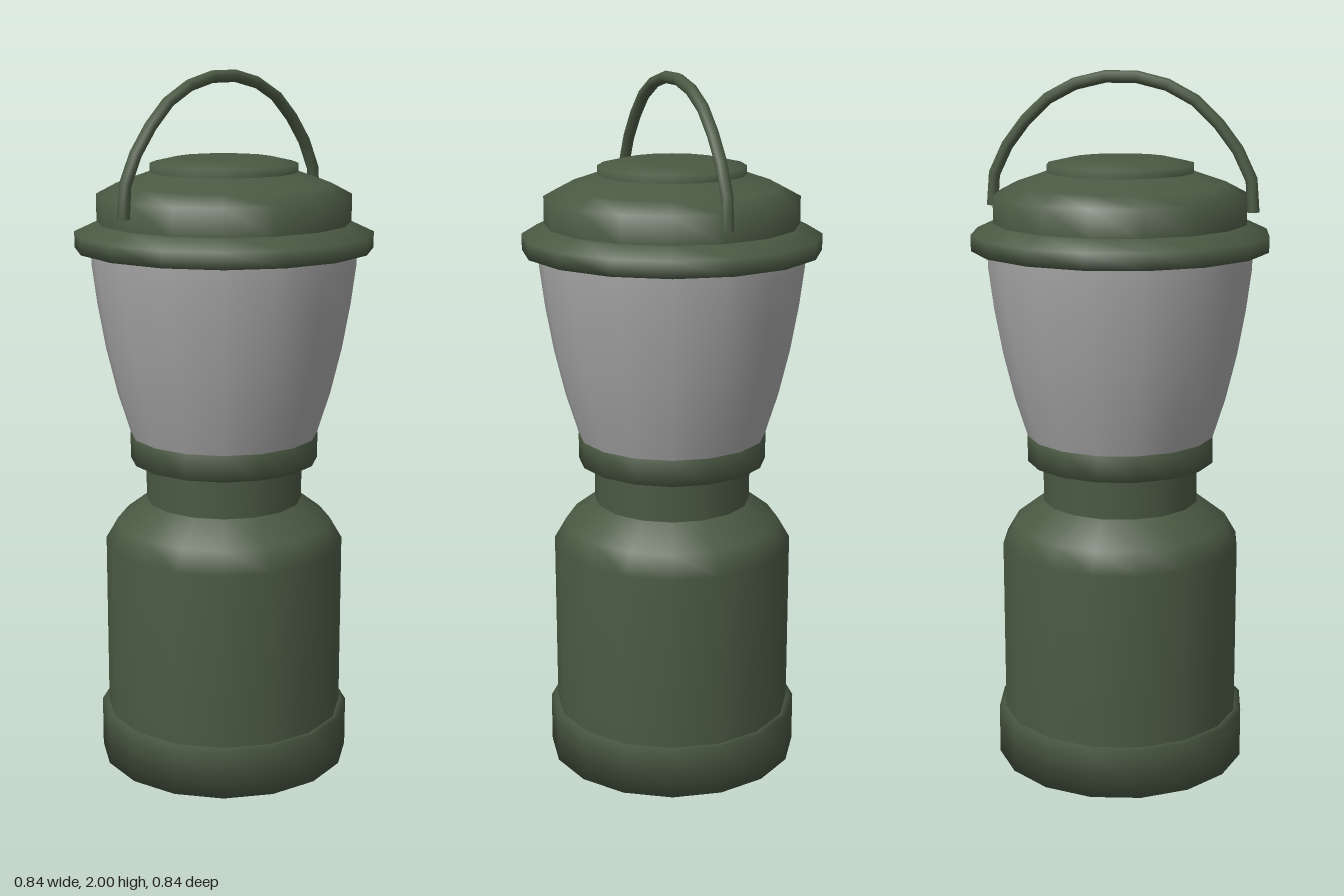
import * as THREE from 'three';

const green = new THREE.MeshStandardMaterial({ color: 0x4a5943 });
green.name = 'olive green';
const grey = new THREE.MeshStandardMaterial({ color: 0xa6a6a6 });
grey.name = 'frosted grey';

const SIDES = 16;

export function createModel() {
  const lantern = new THREE.Group();
  lantern.name = 'lantern';

  const add = (name, geometry, material) => {
    const mesh = new THREE.Mesh(geometry, material);
    mesh.name = name;
    lantern.add(mesh);
    return mesh;
  };
  // Turned part: profile of [radius, height], bottom to top
  const turn = (name, material, profile) =>
    add(name, new THREE.LatheGeometry(profile.map(([r, y]) => new THREE.Vector2(r, y)), SIDES), material);

  // Foot, fuel tank and neck
  turn('foot', green, [[0, 0], [0.365, 0], [0.365, 0.145], [0.34, 0.145]]);
  turn('tank', green, [[0.345, 0.14], [0.345, 0.655], [0.31, 0.715], [0.225, 0.78]]);
  turn('neck', green, [[0.225, 0.78], [0.225, 0.905]]);
  turn('collar', green, [[0.22, 0.9], [0.27, 0.9], [0.27, 0.975], [0.25, 0.975]]);

  // Flared globe
  turn('globe', grey, [[0.268, 0.972], [0.305, 1.09], [0.336, 1.22], [0.359, 1.35], [0.373, 1.46], [0.375, 1.515]]);

  // Stepped lid
  turn('lidRim', green, [[0.36, 1.51], [0.42, 1.51], [0.42, 1.555], [0.355, 1.585]]);
  turn('lidDome', green, [[0.357, 1.58], [0.357, 1.66], [0.3, 1.69], [0.207, 1.722]]);
  turn('lidCap', green, [[0.207, 1.715], [0.207, 1.745], [0.14, 1.76], [0, 1.76]]);

  // Carrying handle, mirrored from one half of its arch
  const half = [[0.374, 1.62], [0.372, 1.69], [0.336, 1.775], [0.272, 1.86], [0.19, 1.932], [0.097, 1.97]];
  const points = [
    ...half.map(([x, y]) => new THREE.Vector3(-x, y, 0)),
    new THREE.Vector3(0, 1.983, 0),
    ...half.slice().reverse().map(([x, y]) => new THREE.Vector3(x, y, 0)),
  ];
  add('handle', new THREE.TubeGeometry(new THREE.CatmullRomCurve3(points), 13, 0.017, 8), green);
  for (const side of [-1, 1]) {
    const end = add(side > 0 ? 'leftHandleEnd' : 'rightHandleEnd', new THREE.CircleGeometry(0.017, 8), green);
    end.rotation.x = Math.PI / 2;
    end.position.set(side * 0.374, 1.62, 0);
  }
  return lantern;
}
